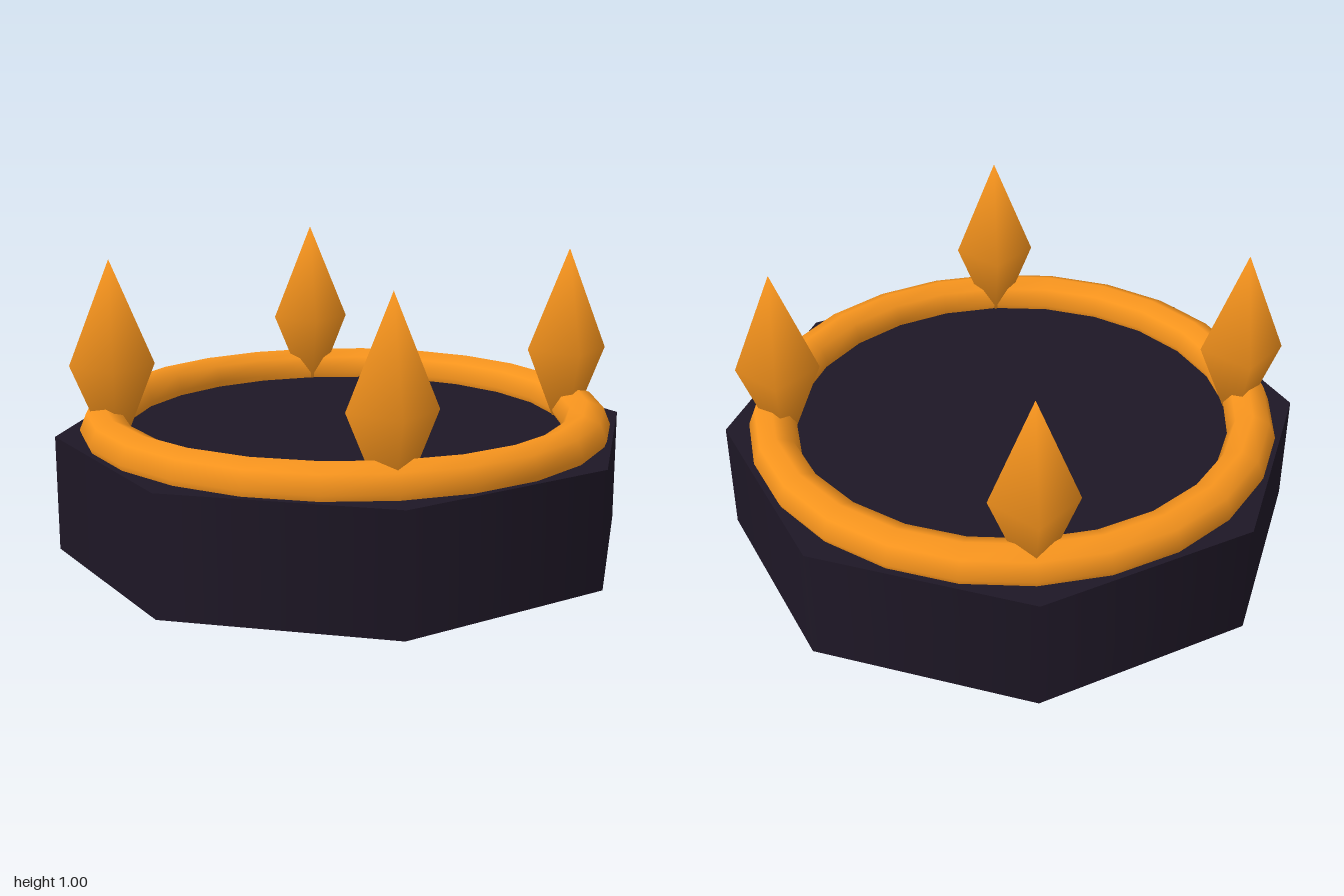
import * as THREE from 'three';

export function createModel() {
  const model = new THREE.Group();
  const dark = new THREE.MeshStandardMaterial({ color: 0x1e1726 });
  const amber = new THREE.MeshStandardMaterial({ color: 0xf7941d });

  const add = (name, geometry, material, x, y, z) => {
    const mesh = new THREE.Mesh(geometry, material);
    mesh.name = name;
    mesh.position.set(x, y, z);
    model.add(mesh);
    return mesh;
  };

  // Eight-sided plinth with corners on the axes
  add('base', new THREE.CylinderGeometry(1, 1, 0.4, 8), dark, 0, 0.2, 0);

  // Ring half sunk into the top of the plinth
  const ringGeometry = new THREE.TorusGeometry(0.835, 0.082, 8, 24).rotateX(-Math.PI / 2);
  add('ring', ringGeometry, amber, 0, 0.42, 0);

  // Four stretched octahedral crystals with smooth normals
  const crystalGeometry = new THREE.SphereGeometry(0.143, 4, 2).scale(1, 2.5, 1);
  ['crystalFront', 'crystalLeft', 'crystalBack', 'crystalRight'].forEach((name, i) => {
    const angle = (i * Math.PI) / 2;
    add(name, crystalGeometry, amber, 0.8 * Math.sin(angle), 0.643, 0.8 * Math.cos(angle));
  });

  return model;
}
